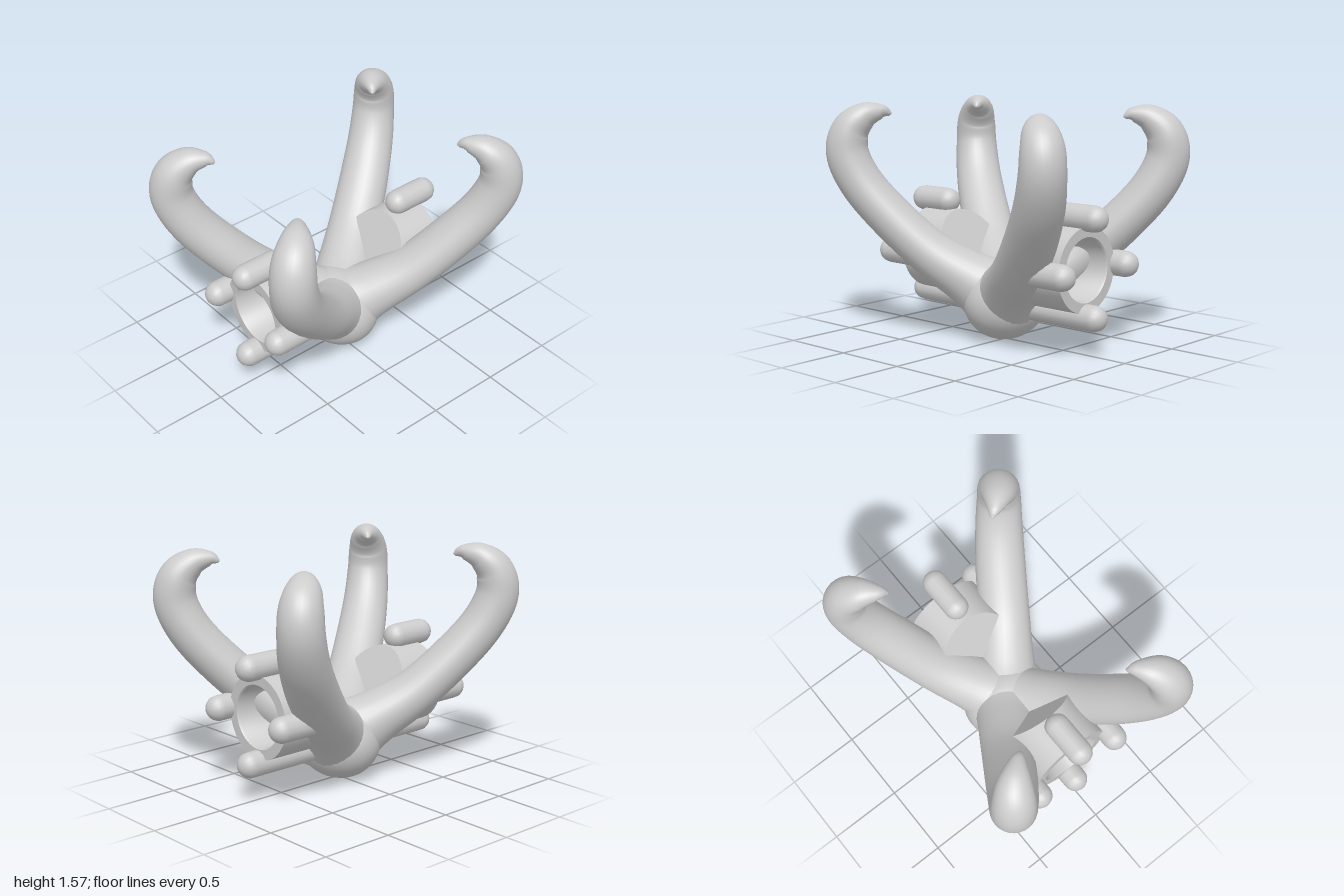
import * as THREE from 'three';
import { toCreasedNormals } from 'three/addons/utils/BufferGeometryUtils.js';

const material = new THREE.MeshStandardMaterial({ color: 0xcccccc });

function part(name, geometry) {
  const mesh = new THREE.Mesh(geometry, material);
  mesh.name = name;
  return mesh;
}

// Horn: oval loops swept along a curve. Each row is x, y, z, half width, half depth.
const HORN = [
  [0.03, 0.29, 0.04, 0.23, 0.25],
  [0.15, 0.41, 0.20, 0.20, 0.185],
  [0.30, 0.57, 0.40, 0.178, 0.155],
  [0.445, 0.80, 0.615, 0.17, 0.148],
  [0.56, 1.02, 0.775, 0.158, 0.145],
  [0.622, 1.22, 0.852, 0.145, 0.142],
  [0.61, 1.38, 0.84, 0.135, 0.128],
  [0.55, 1.48, 0.765, 0.105, 0.092],
  [0.47, 1.51, 0.69, 0.055, 0.05],
  [0.422, 1.497, 0.658, 0.018, 0.018],
  [0.412, 1.492, 0.65, 0.001, 0.001],
];

function hornGeometry(sx, sz) {
  const path = new THREE.CatmullRomCurve3(
    HORN.map(([x, y, z]) => new THREE.Vector3(x * sx, y, z * sz)), false, 'catmullrom', 0.5);
  const radii = new THREE.CatmullRomCurve3(
    HORN.map(([, , , a, b]) => new THREE.Vector3(a, b, 0)), false, 'catmullrom', 0.5);
  const side = new THREE.Vector3(0.59 * sx, 0, 0.807 * sz)
    .cross(new THREE.Vector3(0, 1, 0)).normalize();
  const rows = 70, sides = 28, positions = [], index = [];
  for (let i = 0; i <= rows; i++) {
    const t = i / rows;
    const p = path.getPoint(t), r = radii.getPoint(t);
    const depth = path.getTangent(t).cross(side).normalize();
    for (let j = 0; j < sides; j++) {
      const a = (j / sides) * Math.PI * 2;
      const v = p.clone()
        .addScaledVector(side, Math.cos(a) * r.x)
        .addScaledVector(depth, Math.sin(a) * r.y);
      positions.push(v.x, v.y, v.z);
      if (i === rows) continue;
      const k = (j + 1) % sides, o = i * sides, n = o + sides;
      index.push(o + j, o + k, n + j, o + k, n + k, n + j);
    }
  }
  const g = new THREE.BufferGeometry();
  g.setAttribute('position', new THREE.Float32BufferAttribute(positions, 3));
  g.setIndex(index);
  g.computeVertexNormals();
  return g;
}

// Hollow barrel: lathe whose inner end is sheared to a slanted cap
function barrelGeometry() {
  const profile = [
    [0, 0], [0.28, 0], [0.28, 1], [0.212, 1], [0.203, 0.97], [0.2, 0.4],
    [0.185, 0.28], [0.15, 0.2], [0.08, 0.14], [0, 0.12],
  ].map(([r, t]) => new THREE.Vector2(r, t));
  const g = new THREE.LatheGeometry(profile, 48);
  g.rotateX(Math.PI / 2);
  g.translate(0, 0.55, 0);
  const p = g.attributes.position;
  for (let i = 0; i < p.count; i++) {
    const back = 0.24 + (p.getY(i) - 0.5) * 0.6;
    p.setZ(i, back + (0.69 - back) * p.getZ(i));
  }
  return toCreasedNormals(g, 0.7);
}

// Round-ended rod running along z
function rod(name, x, y, z0, z1) {
  const r = 0.085;
  const g = new THREE.CapsuleGeometry(r, z1 - z0 - 2 * r, 6, 14);
  g.rotateX(Math.PI / 2);
  g.translate(x, y, (z0 + z1) / 2);
  return part(name, g);
}

function createPod(name) {
  const pod = new THREE.Group();
  pod.name = name;
  pod.add(
    part('barrel', barrelGeometry()),
    rod('topRod', 0, 0.883, 0.45, 0.84),
    rod('bottomRod', 0, 0.247, 0.05, 0.84),
    rod('leftRod', 0.32, 0.555, 0.32, 0.84),
    rod('rightRod', -0.32, 0.555, 0.32, 0.84),
  );
  return pod;
}

export function createModel() {
  const model = new THREE.Group();
  model.name = 'hornedHub';

  // Rounded hub at the bottom
  const hub = new THREE.SphereGeometry(1, 48, 32);
  hub.scale(0.31, 0.272, 0.262);
  hub.translate(0, 0.272, 0);
  model.add(part('hub', hub));

  // Four horns, mirrored in x and z
  for (const sx of [1, -1]) {
    for (const sz of [1, -1]) {
      const name = (sz > 0 ? 'front' : 'back') + (sx > 0 ? 'Left' : 'Right') + 'Horn';
      model.add(part(name, hornGeometry(sx, sz)));
    }
  }

  // Barrels with rods, front and back
  const backPod = createPod('backPod');
  backPod.rotation.y = Math.PI;
  model.add(createPod('frontPod'), backPod);
  return model;
}
